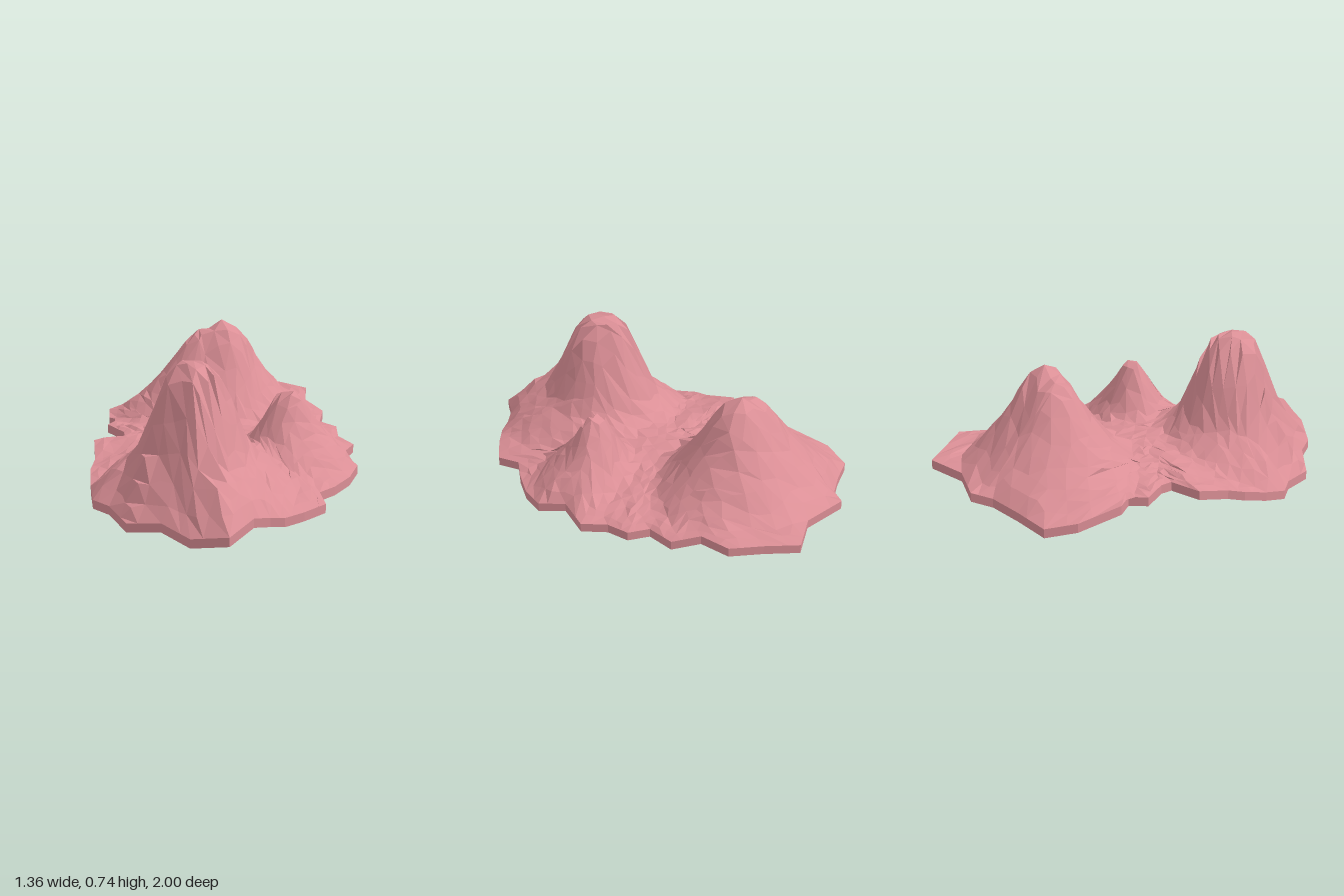
import * as THREE from 'three';

// Outline seen from above, counter-clockwise: x, z and height of the rim
const OUTLINE = [
  [-0.13, 1, 0.1], [0, 0.89, 0.135], [0.08, 0.86, 0.12], [0.15, 0.85, 0.11], [0.25, 0.8, 0.11],
  [0.37, 0.72, 0.11], [0.37, 0.6, 0.12], [0.46, 0.53, 0.115], [0.56, 0.43, 0.12],
  [0.63, 0.31, 0.13], [0.59, 0.18, 0.15], [0.68, 0.04, 0.14], [0.63, -0.08, 0.145],
  [0.65, -0.2, 0.155], [0.58, -0.28, 0.16], [0.63, -0.42, 0.17], [0.56, -0.54, 0.2],
  [0.6, -0.7, 0.215], [0.5, -0.83, 0.21], [0.4, -0.97, 0.2], [0.2, -0.92, 0.19],
  [-0.02, -1, 0.19], [-0.1, -0.93, 0.17], [-0.25, -0.89, 0.145], [-0.42, -0.86, 0.12],
  [-0.5, -0.73, 0.14], [-0.52, -0.5, 0.17], [-0.48, -0.43, 0.18], [-0.54, -0.36, 0.18],
  [-0.47, -0.23, 0.18], [-0.47, -0.17, 0.18], [-0.63, -0.13, 0.18], [-0.64, 0.04, 0.14],
  [-0.67, 0.12, 0.12], [-0.68, 0.25, 0.085], [-0.68, 0.37, 0.06], [-0.61, 0.46, 0.06],
  [-0.55, 0.64, 0.045], [-0.4, 0.75, 0.08], [-0.29, 0.9, 0.06],
];
const N = 30;        // grid cells across; 4 * N points lie on the rim
const CORNER = 37;   // outline point at the front left grid corner
const THICK = 0.045;

// Peaks: summit position, stretch to each side, and [distance, height] profile
const PEAKS = [
  { x: -0.21, z: 0.42, left: 1, right: 1.15, front: 1.25, back: 1.05,
    profile: [[0, 0.745], [0.05, 0.735], [0.1, 0.7], [0.14, 0.62], [0.18, 0.5], [0.22, 0.38], [0.26, 0.3], [0.34, 0.23], [0.5, 0.08]] },
  { x: 0.1, z: -0.49, left: 1, right: 0.95, front: 0.9, back: 0.95,
    profile: [[0, 0.7], [0.08, 0.635], [0.14, 0.56], [0.2, 0.46], [0.27, 0.37], [0.35, 0.28], [0.5, 0.15]] },
  { x: 0, z: -0.51, left: 1, right: 1, front: 0.9, back: 0.95,
    profile: [[0, 0.65], [0.08, 0.6], [0.14, 0.52], [0.2, 0.43], [0.27, 0.35], [0.35, 0.27], [0.5, 0.15]] },
  { x: 0.3, z: 0.17, left: 1, right: 1.2, front: 1.05, back: 0.85,
    profile: [[0, 0.53], [0.05, 0.47], [0.1, 0.38], [0.15, 0.29], [0.22, 0.22], [0.35, 0.08]] },
  { x: -0.14, z: 0.78, left: 1.2, right: 0.8, front: 0.9, back: 1,
    profile: [[0, 0.3], [0.06, 0.27], [0.12, 0.19], [0.25, 0.05]] },
];

function peakHeight(p, x, z) {
  const dx = (x - p.x) / (x > p.x ? p.right : p.left);
  const dz = (z - p.z) / (z > p.z ? p.front : p.back);
  const d = Math.hypot(dx, dz);
  for (let i = 1; i < p.profile.length; i++) {
    const [d0, h0] = p.profile[i - 1], [d1, h1] = p.profile[i];
    if (d <= d1) return h0 + ((h1 - h0) * (d - d0)) / (d1 - d0);
  }
  return 0;
}

// Repeatable value from -1 to 1
function noise(a, b) {
  const s = Math.sin(a * 127.1 + b * 311.7) * 43758.5453;
  return (s - Math.floor(s)) * 2 - 1;
}

// Rim point [x, y, z] at a fraction of the way round, from the front left corner
function rimAt(turn) {
  const n = OUTLINE.length;
  const k = turn * n + CORNER;
  const i = Math.floor(k + 1e-6), f = Math.max(0, k - i);
  const p = OUTLINE[i % n], q = OUTLINE[(i + 1) % n];
  const mix = (c) => p[c] + (q[c] - p[c]) * f;
  return [mix(0), mix(2), mix(1)];
}

// Fraction of the way round for a point (u, v) on the square of half-width t
function turnAt(u, v, t) {
  if (t === 0) return 0;
  if (v === t) return (u / t + 1) / 8;
  if (u === t) return (3 - v / t) / 8;
  if (v === -t) return (5 - u / t) / 8;
  return (7 + v / t) / 8;
}

// Ground and peaks; slopes ease out towards the rim
function terrainPoint(iu, iv) {
  const u = (2 * iu) / N - 1, v = (2 * iv) / N - 1;
  const edge = Math.max(Math.abs(u), Math.abs(v));
  const [rx, ry, rz] = rimAt(turnAt(u, v, edge));
  if (edge === 1) return [rx, ry, rz];
  const x = rx * edge + 0.01 * noise(iu, iv);
  const z = rz * edge + 0.01 * noise(iv + 50, iu);
  const toRim = (1 - edge) * Math.hypot(rx, rz);
  const ground = 0.235 + (ry - 0.235) * edge * edge;
  const peak = Math.max(...PEAKS.map((p) => peakHeight(p, x, z)));
  const limit = ry + 0.95 * toRim + 4 * toRim * toRim;
  return [x, Math.max(ground, Math.min(peak, limit)) + 0.006 * noise(iu + 9, iv + 31), z];
}

// Grid of points, rows by columns, joined into a surface
function gridSurface(rows) {
  const w = rows[0].length;
  const index = [];
  for (let r = 0; r < rows.length - 1; r++) {
    for (let i = 0; i < w - 1; i++) {
      const a = r * w + i, b = a + 1, c = a + w, d = c + 1;
      if ((r + i) % 2) index.push(a, c, d, a, d, b);
      else index.push(a, c, b, b, c, d);
    }
  }
  const geometry = new THREE.BufferGeometry();
  geometry.setAttribute('position', new THREE.Float32BufferAttribute(rows.flat(2), 3));
  geometry.setIndex(index);
  geometry.computeVertexNormals();
  return geometry;
}

export function createModel() {
  const group = new THREE.Group();
  group.name = 'mountainIsland';
  const material = new THREE.MeshStandardMaterial({ color: 0xdb8f96, flatShading: true });
  const add = (name, rows) => {
    const mesh = new THREE.Mesh(gridSurface(rows), material);
    mesh.name = name;
    group.add(mesh);
  };
  const count = (n, make) => Array.from({ length: n }, (_, i) => make(i));

  add('mountains', count(N + 1, (iv) => count(N + 1, (iu) => terrainPoint(iu, iv))));

  // Thin edge around the island
  const rim = count(4 * N + 1, (i) => rimAt(i / (4 * N)));
  const lower = rim.map(([x, y, z]) => [x, y - THICK, z]);
  add('edge', [rim, lower]);

  // Underside
  add('underside', [lower, rim.map(() => [0, 0.115, 0])]);
  return group;
}
